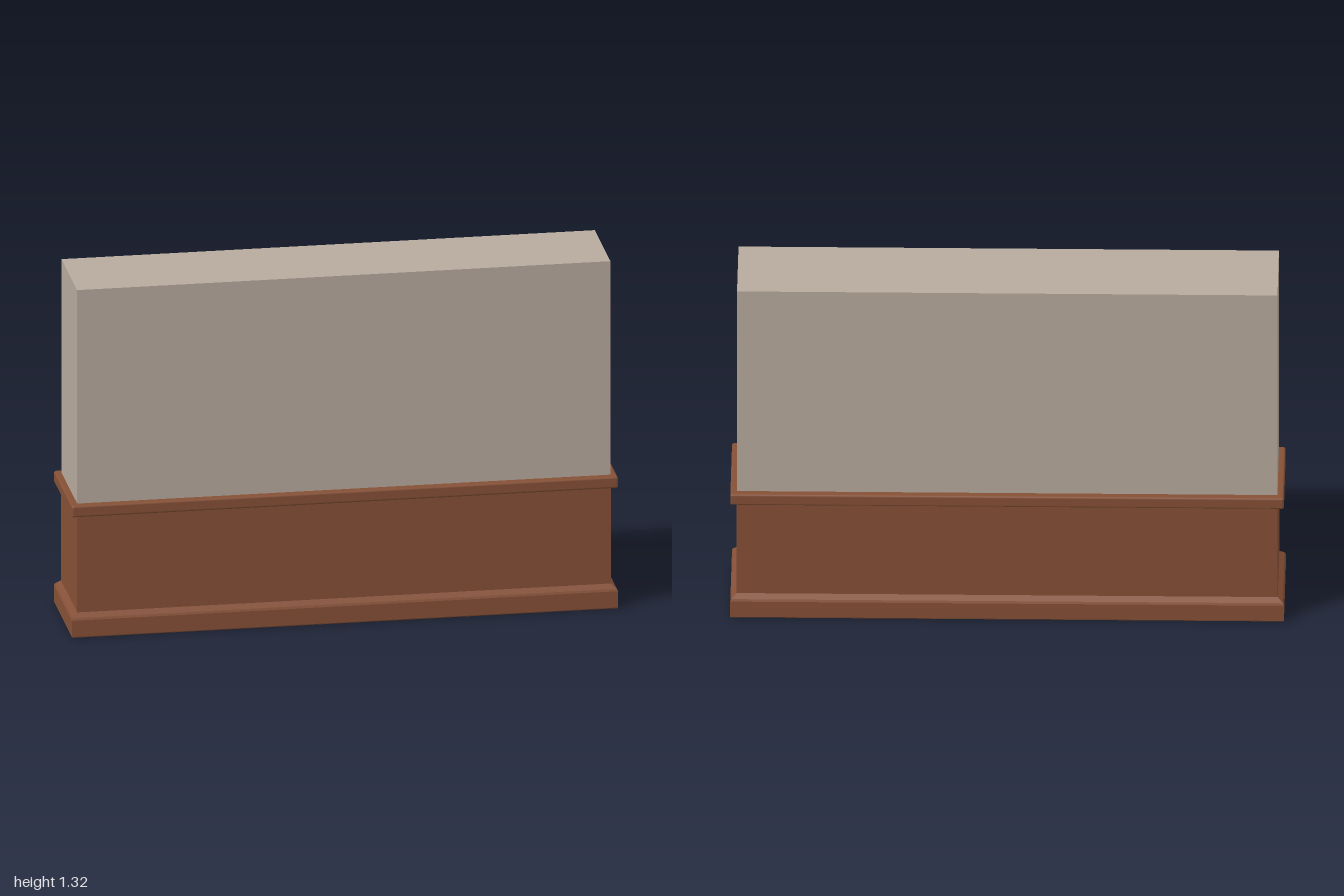
import * as THREE from 'three';
import { RoundedBoxGeometry } from 'three/addons/geometries/RoundedBoxGeometry.js';

// Rectangular loft through [y, halfWidth, halfDepth] levels, capped at both ends
function loft(levels) {
  const pos = [];
  const ring = ([y, w, d]) => [[-w, y, d], [w, y, d], [w, y, -d], [-w, y, -d]];
  const quad = (a, b, c, d) => pos.push(...a, ...b, ...c, ...a, ...c, ...d);
  for (let i = 0; i < levels.length - 1; i++) {
    const lo = ring(levels[i]), hi = ring(levels[i + 1]);
    for (let k = 0; k < 4; k++) {
      const n = (k + 1) % 4;
      quad(lo[k], lo[n], hi[n], hi[k]);
    }
  }
  quad(...ring(levels[levels.length - 1]));
  quad(...ring(levels[0]).reverse());
  const g = new THREE.BufferGeometry();
  g.setAttribute('position', new THREE.Float32BufferAttribute(pos, 3));
  g.computeVertexNormals();
  return g;
}

export function createModel() {
  const plaster = new THREE.MeshStandardMaterial({ color: 0xb7a99d });
  plaster.name = 'warm grey plaster';
  const wood = new THREE.MeshStandardMaterial({ color: 0x855036 });
  wood.name = 'brown wood';

  const group = new THREE.Group();
  group.name = 'wallSection';
  const add = (name, geometry, material, y = 0) => {
    const mesh = new THREE.Mesh(geometry, material);
    mesh.name = name;
    mesh.position.y = y;
    group.add(mesh);
  };

  // Plain upper wall
  add('upperWall', new THREE.BoxGeometry(1.952, 0.84, 0.346), plaster, 0.9);

  // Wood panelling on the lower wall
  add('wainscot', new THREE.BoxGeometry(1.954, 0.41, 0.358), wood, 0.275);

  // Softly rounded rail capping the panelling
  add('chairRail', new RoundedBoxGeometry(2, 0.044, 0.404, 3, 0.008), wood, 0.482);

  // Skirting with a sloped top edge
  add('skirting', loft([
    [0, 0.997, 0.197], [0.004, 1, 0.2], [0.066, 1, 0.2],
    [0.074, 0.996, 0.196], [0.09, 0.977, 0.179],
  ]), wood);

  return group;
}
